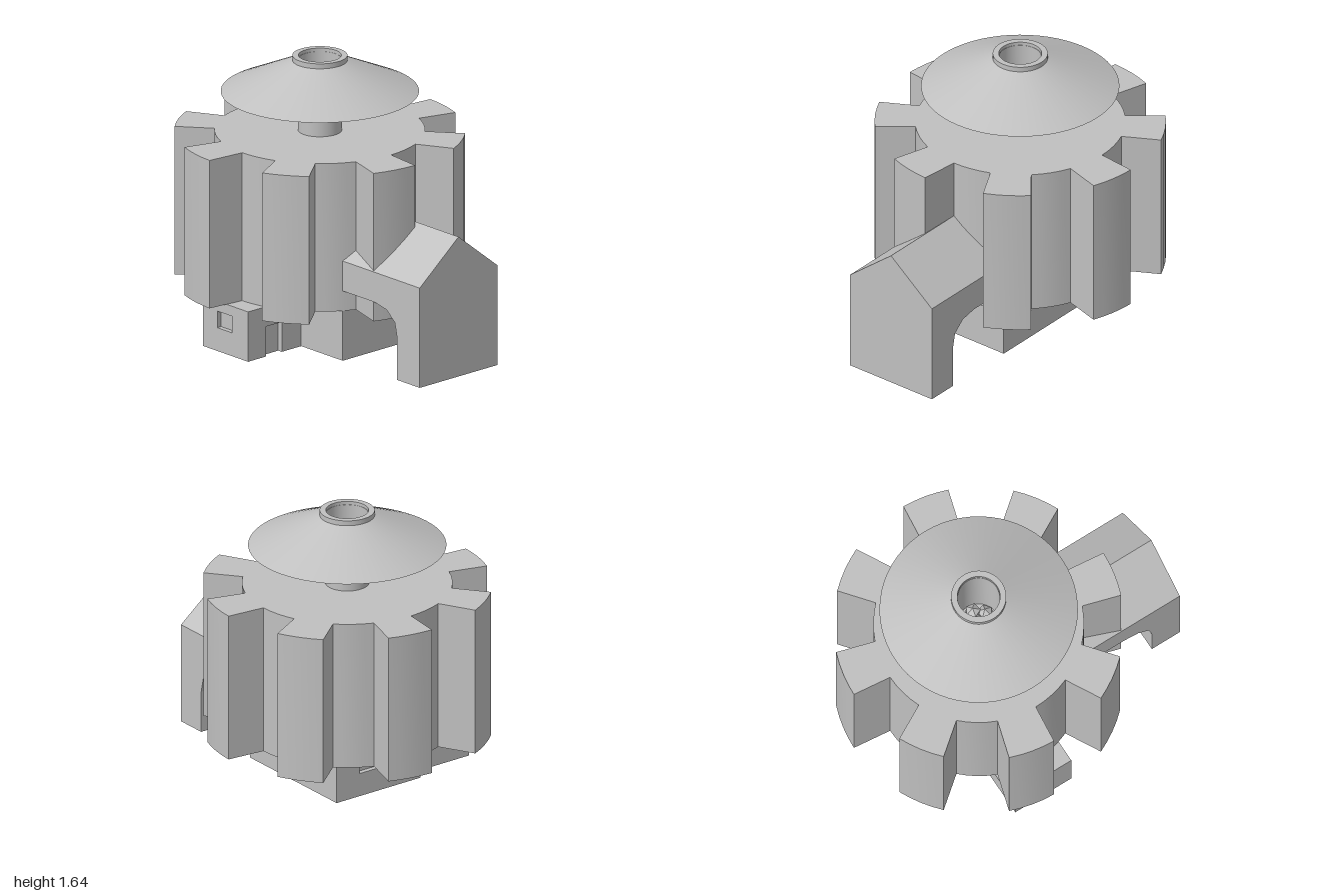
import * as THREE from 'three';
import { toCreasedNormals } from 'three/addons/utils/BufferGeometryUtils.js';

const CENTER_Z = -0.17; // axis of the ribbed drum

export function createModel() {
  const model = new THREE.Group();
  const grey = new THREE.MeshStandardMaterial({ color: 0xc0c0c0 });
  grey.name = 'plain grey';

  function add(name, geometry, parent = model) {
    const mesh = new THREE.Mesh(geometry, grey);
    mesh.name = name;
    parent.add(mesh);
    return mesh;
  }
  function box(name, x0, x1, y0, y1, z0, z1, parent) {
    const mesh = add(name, new THREE.BoxGeometry(x1 - x0, y1 - y0, z1 - z0), parent);
    mesh.position.set((x0 + x1) / 2, (y0 + y1) / 2, (z0 + z1) / 2);
    return mesh;
  }
  const polygon = (points) => new THREE.Shape(points.map(([x, y]) => new THREE.Vector2(x, y)));
  const rectangle = (x0, x1, y0, y1) => [[x0, y0], [x1, y0], [x1, y1], [x0, y1]];
  const extrude = (shape, depth) => new THREE.ExtrudeGeometry(shape, { depth, bevelEnabled: false });
  const lathe = (points) => toCreasedNormals(
    new THREE.LatheGeometry(points.map(([x, y]) => new THREE.Vector2(x, y)), 64), 0.35);

  // Drum with eight tapered ribs
  const outline = [];
  const arc = (r, from, to) => {
    for (let i = 0; i <= 4; i++) {
      const a = THREE.MathUtils.degToRad(from + (to - from) * i / 4);
      outline.push([r * Math.sin(a), r * Math.cos(a)]);
    }
  };
  for (let i = 0; i < 8; i++) {
    const a = i * 45;
    arc(0.83, a + 1.7, a + 20.8);
    arc(0.6, a + 22.5, a + 45);
  }
  const drum = add('ribbedDrum', toCreasedNormals(extrude(polygon(outline), 0.89), 0.35));
  drum.rotation.x = -Math.PI / 2;
  drum.position.set(0, 0.3, CENTER_Z);

  // Flue and conical cap, both hollow
  const chimney = new THREE.Group();
  chimney.name = 'chimney';
  chimney.position.z = CENTER_Z;
  model.add(chimney);
  add('flue', lathe([[0.125, 1.19], [0.125, 1.62], [0.12, 1.62], [0.12, 1.19]]), chimney);
  add('conicalCap', lathe([
    [0.122, 1.6], [0.565, 1.424], [0.157, 1.61], [0.157, 1.64], [0.122, 1.64], [0.122, 1.6],
  ]), chimney);

  // Rubble at the bottom of the flue
  for (let i = 0; i < 6; i++) {
    const r = i ? 0.06 : 0;
    const stone = add('flueStone', new THREE.IcosahedronGeometry(0.05, 0), chimney);
    stone.position.set(r * Math.cos(i * 1.257), 1.23 + 0.01 * (i % 3), r * Math.sin(i * 1.257));
    stone.rotation.set(i, i * 2.1, i * 0.7);
  }

  // Gabled front chute with an arched underside
  const chute = new THREE.Group();
  chute.name = 'frontChute';
  model.add(chute);
  const legShape = polygon([
    [1, 0], [1, 0.6], [0.3, 0.6], [0.3, 0.42], [0.62, 0.42],
    [0.72, 0.4], [0.79, 0.34], [0.81, 0.25], [0.81, 0],
  ]);
  const leg = add('chuteLeg', extrude(legShape, 0.6), chute);
  leg.rotation.y = -Math.PI / 2;
  leg.position.x = 0.3;
  const gable = add('chuteGable', extrude(polygon([[-0.3, 0.6], [0.3, 0.6], [0, 0.84]]), 0.7), chute);
  gable.position.z = 0.3;

  // Foundation: solid cores faced with walls that leave recessed openings
  const base = new THREE.Group();
  base.name = 'foundation';
  model.add(base);
  const T = 0.03;
  function windowWall(name, x0, x1, wx0, wx1) {
    const shape = polygon(rectangle(x0, x1, 0, 0.3));
    shape.holes.push(polygon(rectangle(wx0, wx1, 0.14, 0.24)));
    return add(name, extrude(shape, T), base);
  }
  box('mainCore', -0.3, 0.3, 0, 0.3, -0.465 + T, 0.35, base);
  windowWall('mainBackWall', -0.3, 0.3, -0.135, 0.135).position.z = -0.465;

  box('annexCore', -0.71 + T, -0.3, 0, 0.3, -0.38 + T, -T, base);
  windowWall('annexBackWall', -0.71, -0.3, -0.6, -0.41).position.z = -0.38;
  const side = windowWall('annexSideWall', -0.38 + T, -T, -0.26, -0.135);
  side.rotation.y = -Math.PI / 2;
  side.position.x = -0.71 + T;
  const doorWall = polygon([
    [-0.71, 0], [-0.57, 0], [-0.57, 0.18], [-0.45, 0.18],
    [-0.45, 0], [-0.3, 0], [-0.3, 0.3], [-0.71, 0.3],
  ]);
  add('annexDoorWall', extrude(doorWall, T), base).position.z = -T;

  return model;
}
